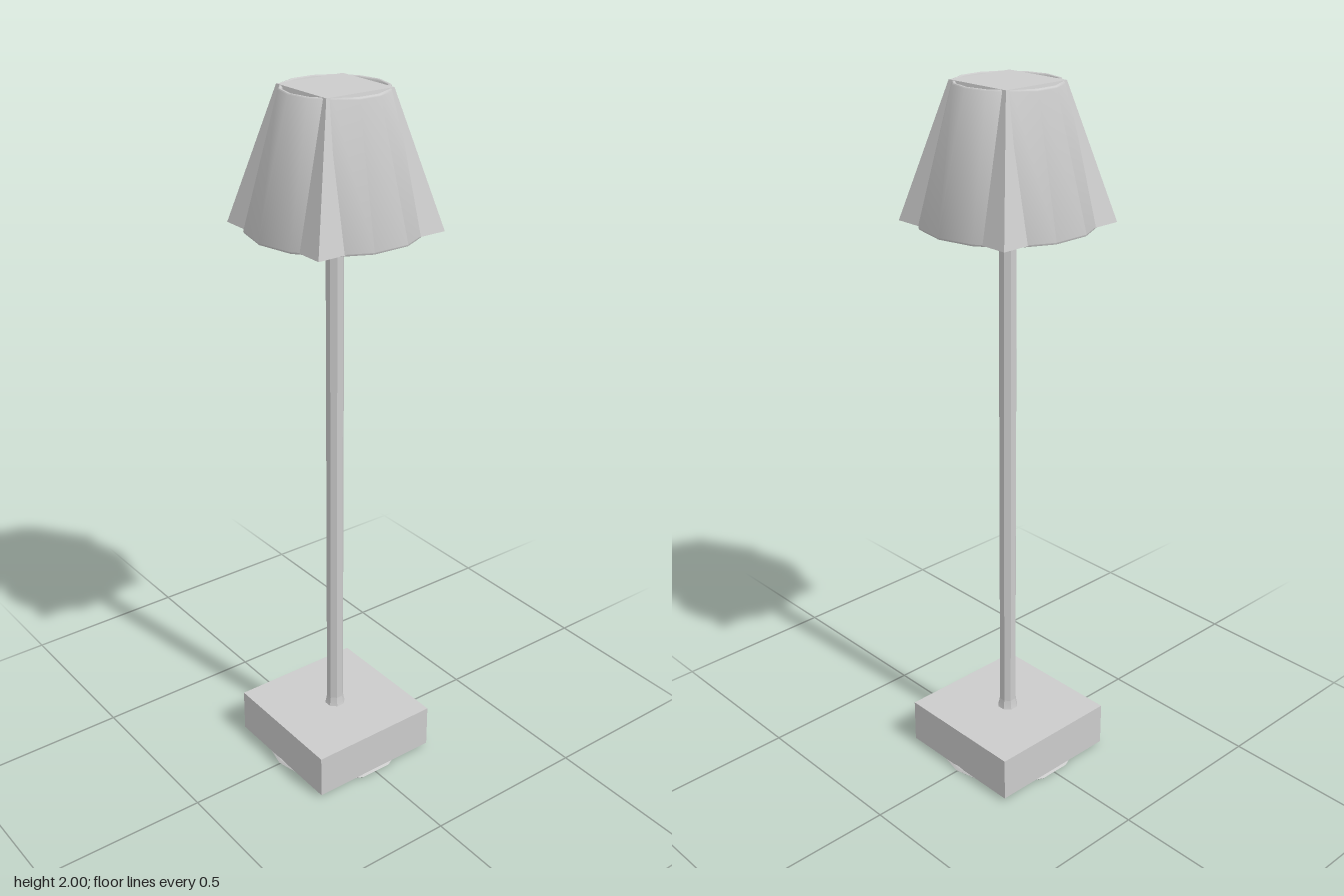
import * as THREE from 'three';
import { toCreasedNormals } from 'three/addons/utils/BufferGeometryUtils.js';

const material = new THREE.MeshStandardMaterial({ color: 0xcccccc });

function add(group, name, geometry, y = 0) {
  const mesh = new THREE.Mesh(geometry, material);
  mesh.name = name;
  mesh.position.y = y;
  group.add(mesh);
  return mesh;
}

// Turned part with a corner on the x axis; profile runs bottom to top.
function turned(profile, sides, start = Math.PI / 2) {
  const points = profile.map(([r, y]) => new THREE.Vector2(r, y));
  return toCreasedNormals(new THREE.LatheGeometry(points, sides, start), 0.7);
}

// Four-sided tapered block, given by its half widths.
function taperedSquare(top, bottom, height) {
  const g = new THREE.CylinderGeometry(top * Math.SQRT2, bottom * Math.SQRT2, height, 4);
  g.rotateY(Math.PI / 4);
  return toCreasedNormals(g, 0.5);
}

export function createModel() {
  const lamp = new THREE.Group();
  lamp.name = 'tableLamp';

  // Base block standing on a thin faceted foot
  add(lamp, 'footDisc', turned([[0, 0], [0.206, 0], [0.21, 0.004], [0.207, 0.009], [0.198, 0.014], [0, 0.014]], 14));
  add(lamp, 'baseBlock', new THREE.BoxGeometry(0.4, 0.13, 0.4), 0.075);

  // Octagonal pole with a small flared collar
  const eighth = Math.PI / 8;
  add(lamp, 'pole', turned([[0, 0.13], [0.025, 0.13], [0.025, 1.66], [0, 1.66]], 8, eighth));
  add(lamp, 'poleCollar', turned([[0.031, 0.138], [0.028, 0.148], [0.025, 0.168]], 8, eighth));

  // Round shade: closed below, with a rounded rim around a sunken top
  const rim = [];
  for (let i = 0; i <= 6; i++) {
    const a = (i / 6) * Math.PI;
    rim.push([0.138 + 0.006 * Math.cos(a), 1.993 + 0.006 * Math.sin(a)]);
  }
  const shade = new THREE.Group();
  shade.name = 'shade';
  lamp.add(shade);
  add(shade, 'roundShade', turned([
    [0, 1.642], [0.228, 1.642], [0.231, 1.637], [0.236, 1.637], [0.238, 1.642],
    ...rim, [0.13, 1.983], [0, 1.983],
  ], 14));

  // Square shade crossing the round one, its corners standing proud
  add(shade, 'squareShade', taperedSquare(0.104, 0.2, 0.36), 1.82);
  return lamp;
}
